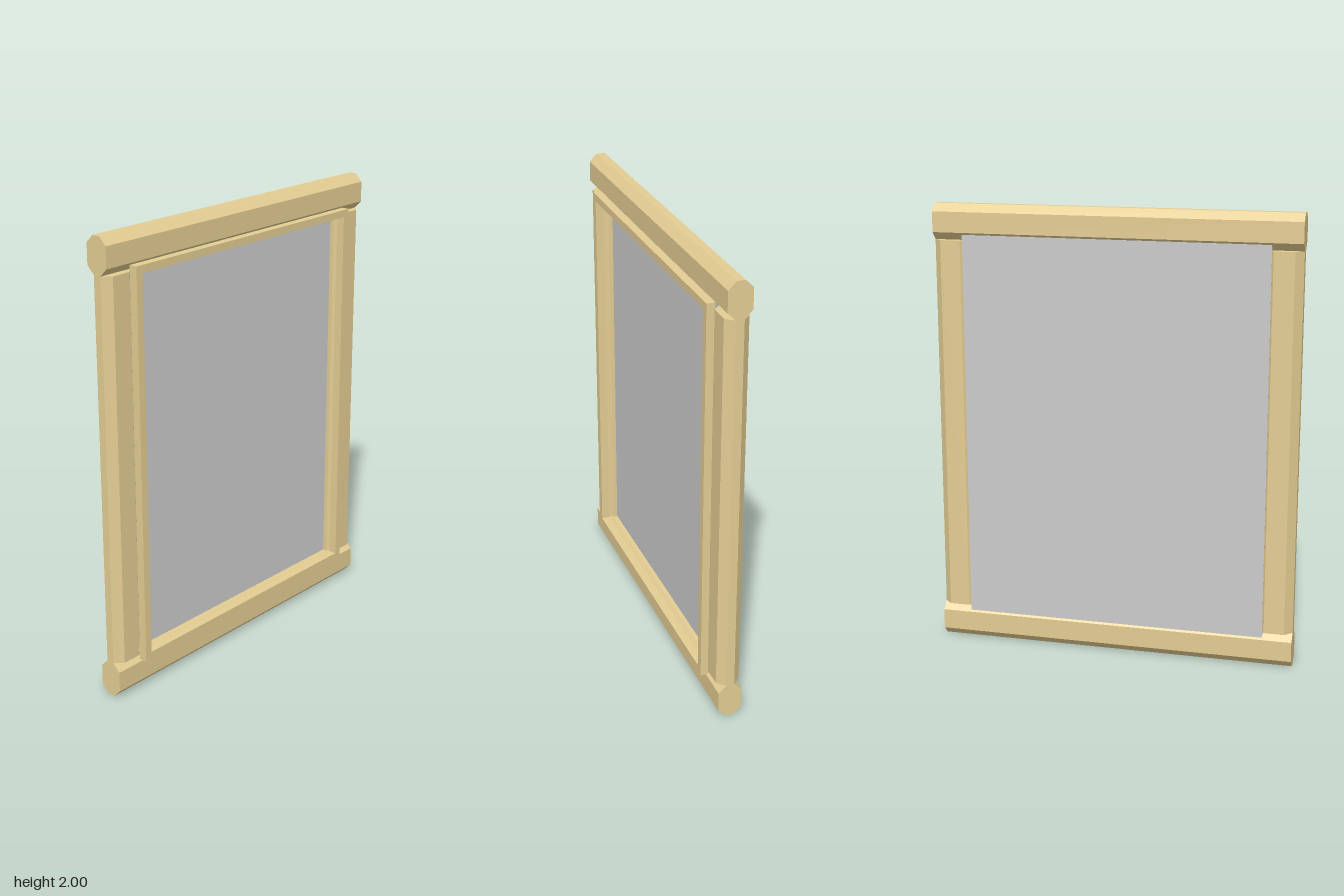
import * as THREE from 'three';

const WIDTH = 1.62, HEIGHT = 2;
const BAR = 0.158, DEPTH = 0.104, CHAMFER = 0.034;
const BAR_Z = -0.015; // centre of the bars in depth

const wood = new THREE.MeshStandardMaterial({ color: 0xe4cd93 });
const pane = new THREE.MeshStandardMaterial({ color: 0xcccccc });

// Octagonal bar: chamfered w x h section, centred, extruded along z
function chamferedBar(w, h, length) {
  const x = w / 2, y = h / 2, c = CHAMFER;
  const section = new THREE.Shape([
    [x - c, -y], [x, -y + c], [x, y - c], [x - c, y],
    [-x + c, y], [-x, y - c], [-x, -y + c], [-x + c, -y],
  ].map(([a, b]) => new THREE.Vector2(a, b)));
  return new THREE.ExtrudeGeometry(section, { depth: length, bevelEnabled: false })
    .translate(0, 0, -length / 2);
}

function rectangle(Type, w, h) {
  return new Type([[-w, -h], [w, -h], [w, h], [-w, h]]
    .map(([a, b]) => new THREE.Vector2(a / 2, b / 2)));
}

export function createModel() {
  const group = new THREE.Group();
  const add = (name, geometry, material, x, y, z) => {
    const mesh = new THREE.Mesh(geometry, material);
    mesh.name = name;
    mesh.position.set(x, y, z);
    group.add(mesh);
  };

  // Top and bottom rails run the full width
  const rail = chamferedBar(DEPTH, BAR, WIDTH).rotateY(Math.PI / 2);
  add('topRail', rail, wood, 0, HEIGHT - BAR / 2, BAR_Z);
  add('bottomRail', rail, wood, 0, BAR / 2, BAR_Z);

  // Side stiles stand between the rails
  const stile = chamferedBar(BAR, DEPTH, HEIGHT - 2 * BAR).rotateX(-Math.PI / 2);
  const stileX = (WIDTH - BAR) / 2;
  add('leftStile', stile, wood, stileX, HEIGHT / 2, BAR_Z);
  add('rightStile', stile, wood, -stileX, HEIGHT / 2, BAR_Z);

  // Flat retaining frame on the front
  const outline = rectangle(THREE.Shape, 1.356, 1.734);
  outline.holes.push(rectangle(THREE.Path, 1.288, 1.668));
  const frame = new THREE.ExtrudeGeometry(outline, { depth: 0.037, bevelEnabled: false });
  add('frontFrame', frame, wood, 0, HEIGHT / 2, 0.03);

  // Thick pane let into the bars, its back just inside the rear chamfers
  const paneBack = -0.061, paneFront = -0.015;
  add('pane', new THREE.BoxGeometry(1.356, 1.734, paneFront - paneBack), pane,
    0, HEIGHT / 2, (paneFront + paneBack) / 2);

  return group;
}
